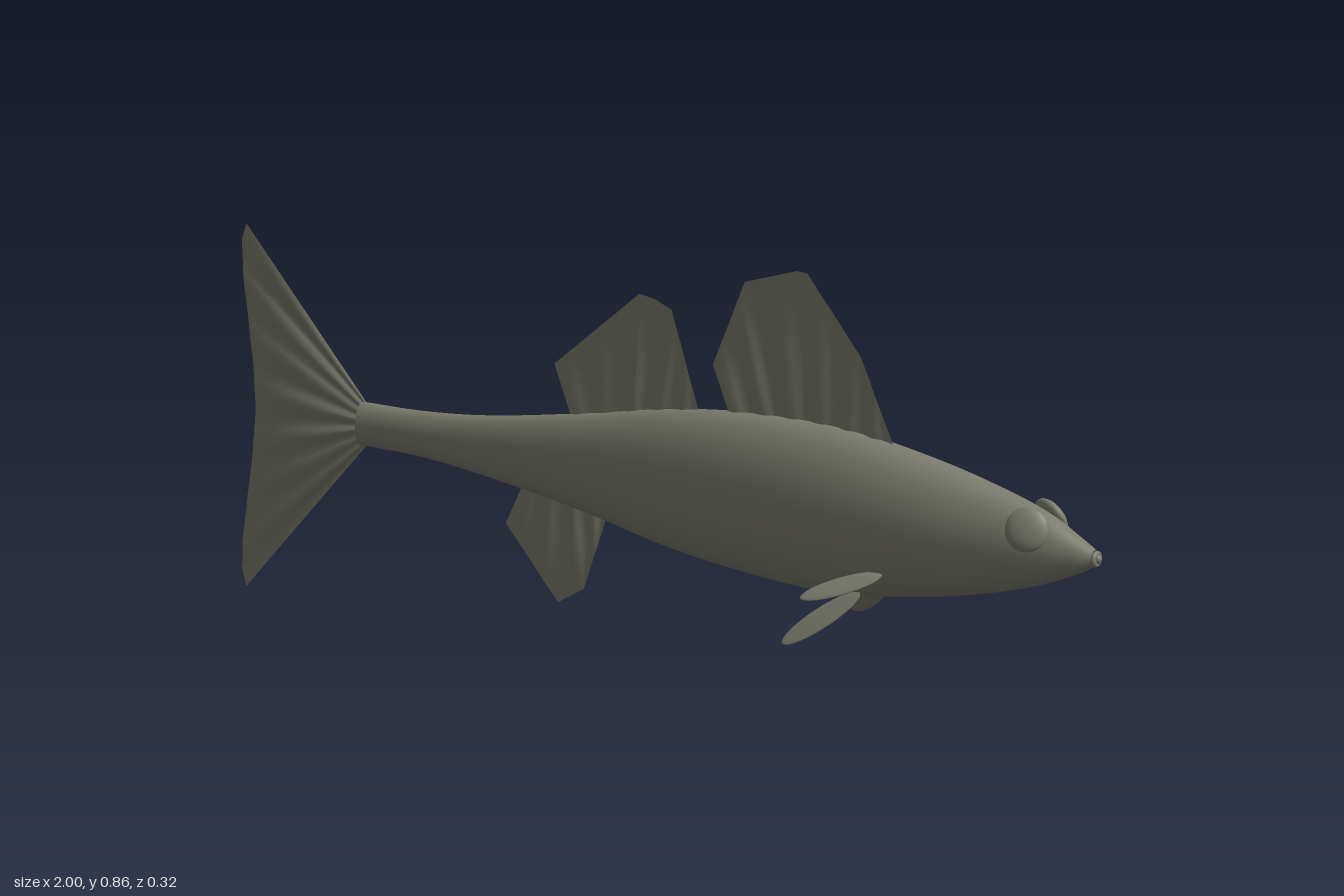
import * as THREE from 'three';

const skin = new THREE.MeshStandardMaterial({ color: 0x7a7b6d });
skin.name = 'olive grey skin';
skin.side = THREE.DoubleSide;

const V = (x, y, z = 0) => new THREE.Vector3(x, y, z);

function mesh(name, geometry) {
  const m = new THREE.Mesh(geometry, skin);
  m.name = name;
  return m;
}

function indexed(positions, index) {
  const g = new THREE.BufferGeometry();
  g.setAttribute('position', new THREE.Float32BufferAttribute(positions, 3));
  g.setIndex(index);
  g.computeVertexNormals();
  return g;
}

// Body stations from tail to snout: x, top, bottom, half width
const stations = [
  [-0.72, 0.425, 0.337, 0.028], [-0.58, 0.429, 0.336, 0.028], [-0.42, 0.446, 0.32, 0.033],
  [-0.2, 0.487, 0.287, 0.049], [0, 0.529, 0.247, 0.069], [0.2, 0.552, 0.224, 0.086],
  [0.4, 0.554, 0.217, 0.093], [0.6, 0.526, 0.243, 0.087], [0.76, 0.491, 0.278, 0.07],
  [0.87, 0.458, 0.312, 0.051], [0.95, 0.418, 0.346, 0.03], [0.985, 0.4, 0.366, 0.016],
];

function bodyGeometry(rings = 72, sides = 40) {
  const spline = pts => new THREE.CatmullRomCurve3(pts, false, 'catmullrom', 0.5);
  const heights = spline(stations.map(s => V(s[0], s[1], s[2])));
  const widths = spline(stations.map(s => V(s[0], s[3])));
  const pos = [], idx = [];
  for (let i = 0; i <= rings; i++) {
    const h = heights.getPoint(i / rings), w = widths.getPoint(i / rings).y;
    const mid = (h.y + h.z) / 2 - (h.y - h.z) * 0.03;
    for (let j = 0; j < sides; j++) {
      const a = j / sides * Math.PI * 2, c = Math.cos(a), s = Math.sin(a);
      // the belly is a little fuller than the back
      const e = c < 0 ? 0.86 : 1;
      const y = c < 0 ? mid - (mid - h.z) * Math.pow(-c, e) : mid + (h.y - mid) * c;
      pos.push(h.x, y, Math.sign(s) * w * Math.pow(Math.abs(s), e));
    }
  }
  for (let i = 0; i < rings; i++) {
    for (let j = 0; j < sides; j++) {
      const a = i * sides + j, b = i * sides + (j + 1) % sides;
      idx.push(a, b, a + sides, b, b + sides, a + sides);
    }
  }
  return indexed(pos, idx);
}

// Thin fin rippled along its rays, spanning a base line and an outer edge
function rippledFin(base0, base1, edge, ripples, depth, perSegment = 10, rows = 6) {
  const rays = (edge.length - 1) * perSegment;
  const pos = [], idx = [];
  const lengths = [0];
  for (let i = 1; i < edge.length; i++) lengths.push(lengths[i - 1] + edge[i].distanceTo(edge[i - 1]));
  const total = lengths[lengths.length - 1];
  for (let i = 0; i <= rays; i++) {
    const seg = Math.min(Math.floor(i / perSegment), edge.length - 2);
    const f = i / perSegment - seg;
    const outer = edge[seg].clone().lerp(edge[seg + 1], f);
    const u = (lengths[seg] + (lengths[seg + 1] - lengths[seg]) * f) / total;
    const inner = base0.clone().lerp(base1, u);
    for (let k = 0; k <= rows; k++) {
      const v = k / rows, p = inner.clone().lerp(outer, v);
      pos.push(p.x, p.y, depth * Math.sin(u * ripples * Math.PI * 2) * Math.sin(Math.PI * (0.15 + 0.8 * v)));
    }
  }
  for (let i = 0; i < rays; i++) {
    for (let k = 0; k < rows; k++) {
      const a = i * (rows + 1) + k, b = a + rows + 1;
      idx.push(a, b, a + 1, b, b + 1, a + 1);
    }
  }
  return indexed(pos, idx);
}

// Slim leaf-shaped fin between a root and a tip
function leafFin(root, tip, halfWidth, halfThickness) {
  const along = tip.clone().sub(root);
  const length = along.length();
  along.normalize();
  const normal = V(1, 0).cross(along).normalize();
  const across = normal.clone().cross(along);
  const g = new THREE.SphereGeometry(1, 20, 14);
  g.scale(length / 2, halfWidth, halfThickness);
  const center = root.clone().lerp(tip, 0.5);
  return g.applyMatrix4(new THREE.Matrix4().makeBasis(along, across, normal).setPosition(center));
}

export function createModel() {
  const fish = new THREE.Group();
  fish.name = 'fish';
  fish.add(mesh('body', bodyGeometry()));

  // Flat end of the tail stalk
  const stalkEnd = mesh('tailStalkEnd', new THREE.CircleGeometry(1, 32));
  stalkEnd.scale.set(0.028, 0.044, 1);
  stalkEnd.rotation.y = -Math.PI / 2;
  stalkEnd.position.set(-0.719, 0.381, 0);
  fish.add(stalkEnd);

  // Rounded lips around a small mouth
  const lips = mesh('lips', new THREE.TorusGeometry(0.011, 0.006, 10, 24));
  lips.rotation.y = Math.PI / 2;
  lips.position.set(0.988, 0.382, 0);
  fish.add(lips);
  const mouth = mesh('mouth', new THREE.SphereGeometry(1, 16, 12));
  mouth.scale.set(0.015, 0.012, 0.009);
  mouth.position.set(0.985, 0.382, 0);
  fish.add(mouth);

  // Fins on the centre line
  fish.add(mesh('frontDorsalFin', rippledFin(V(0.15, 0.5), V(0.505, 0.51),
    [V(0.096, 0.637), V(0.17, 0.82), V(0.29, 0.862), V(0.315, 0.862), V(0.44, 0.71), V(0.515, 0.54)], 6, 0.004)));
  fish.add(mesh('rearDorsalFin', rippledFin(V(-0.225, 0.45), V(0.06, 0.49),
    [V(-0.273, 0.578), V(-0.075, 0.755), V(-0.04, 0.75), V(0, 0.734), V(0.064, 0.53)], 5, 0.004)));
  fish.add(mesh('analFin', rippledFin(V(-0.34, 0.33), V(-0.15, 0.31),
    [V(-0.386, 0.23), V(-0.265, 0.086), V(-0.205, 0.123), V(-0.155, 0.27)], 4, 0.004)));
  fish.add(mesh('tailFin', rippledFin(V(-0.71, 0.425), V(-0.71, 0.337),
    [V(-0.99, 0.75), V(-1, 0.715), V(-0.998, 0.65), V(-0.975, 0.47), V(-0.968, 0.376),
      V(-0.975, 0.28), V(-0.998, 0.1), V(-1, 0.035), V(-0.99, 0)], 7, 0.004, 8)));

  // Paired fins and eyes
  for (const [side, s] of [['left', 1], ['right', -1]]) {
    fish.add(mesh(side + 'PectoralFin',
      leafFin(V(0.54, 0.297, s * 0.08), V(0.395, 0.245, s * 0.156), 0.024, 0.005)));
    fish.add(mesh(side + 'PelvicFin',
      leafFin(V(0.47, 0.24, s * 0.05), V(0.338, 0.135, s * 0.131), 0.024, 0.004)));
    const eye = mesh(side + 'Eye', new THREE.SphereGeometry(1, 28, 20));
    eye.scale.set(0.045, 0.045, 0.017);
    eye.position.set(0.855, 0.433, s * 0.045);
    eye.quaternion.setFromUnitVectors(V(0, 0, 1), V(0.28, 0.36, s * 0.89).normalize());
    fish.add(eye);
  }
  return fish;
}
